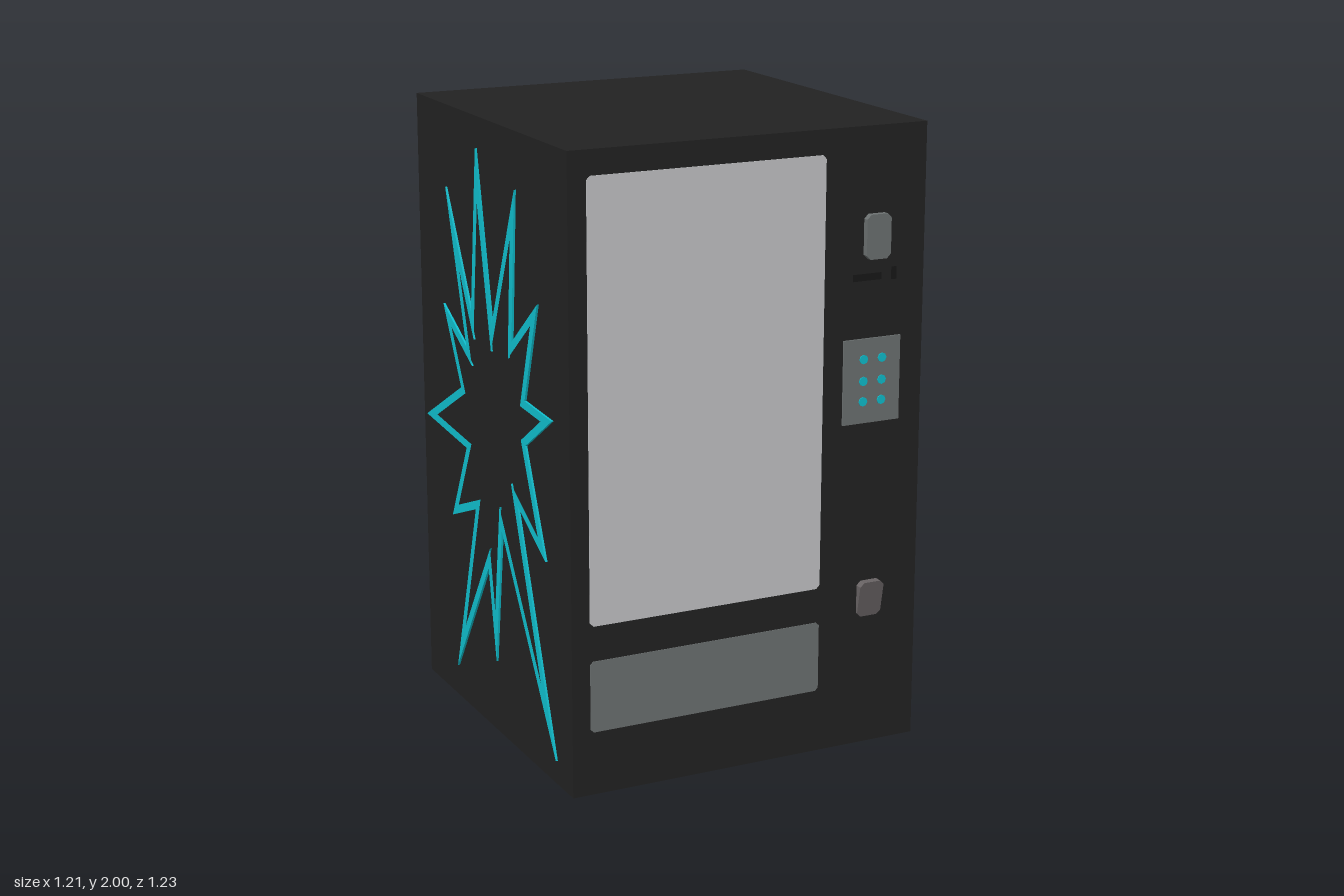
import * as THREE from 'three';

const mat = (name, color, side = THREE.FrontSide) => {
  const m = new THREE.MeshStandardMaterial({ color, side });
  m.name = name;
  return m;
};

export function createModel() {
  const black = mat('body black', 0x222222, THREE.DoubleSide);
  const pale = mat('window pale grey', 0xc4c5c7);
  const grey = mat('panel grey', 0x6c7171);
  const warmGrey = mat('coin return grey', 0x686364);
  const dark = mat('slot dark', 0x171717);
  const cyan = mat('burst cyan', 0x0fbecd);

  const model = new THREE.Group();
  const FRONT = 0.585;
  const add = (name, geometry, material, x = 0, y = 0, z = 0) => {
    const mesh = new THREE.Mesh(geometry, material);
    mesh.name = name;
    mesh.position.set(x, y, z);
    model.add(mesh);
    return mesh;
  };

  // Plate with clipped corners, extruded along +z from z = 0
  const plate = (w, h, depth, c) => {
    const x = w / 2, y = h / 2;
    const corners = [[-x + c, -y], [x - c, -y], [x, -y + c], [x, y - c],
      [x - c, y], [-x + c, y], [-x, y - c], [-x, -y + c]];
    const shape = new THREE.Shape(corners.map(([a, b]) => new THREE.Vector2(a, b)));
    return new THREE.ExtrudeGeometry(shape, { depth, bevelEnabled: false });
  };

  // Cabinet shell, open underneath
  const shell = new THREE.BoxGeometry(1.2, 2, 1.2);
  shell.setIndex([...shell.index.array].filter((_, i) => i < 18 || i >= 24));
  shell.clearGroups();
  add('cabinet', shell, black, 0, 1, -0.015);
  add('innerFloor', new THREE.BoxGeometry(1.19, 0.01, 1.19), black, 0, 0.545, -0.015);

  // Front panels; the tray also shows on the inside of the front wall
  add('displayWindow', plate(0.79, 1.375, 0.008, 0.012), pale, -0.145, 1.235, FRONT - 0.006);
  add('deliveryTray', plate(0.79, 0.23, 0.008, 0.01), grey, -0.145, 0.32, FRONT - 0.006);

  // Payment column
  add('billAcceptor', plate(0.085, 0.14, 0.02, 0.014), grey, 0.428, 1.66, FRONT);
  add('billSlot', new THREE.BoxGeometry(0.1, 0.022, 0.004), dark, 0.4, 1.533, FRONT);
  add('coinSlot', new THREE.BoxGeometry(0.018, 0.04, 0.004), dark, 0.494, 1.538, FRONT);
  add('keypad', new THREE.BoxGeometry(0.2, 0.27, 0.012), grey, 0.42, 1.205, FRONT);
  const button = new THREE.CylinderGeometry(0.015, 0.015, 0.004, 8).rotateX(Math.PI / 2);
  for (const x of [0.39, 0.455])
    for (const y of [1.14, 1.205, 1.275]) add('keypadButton', button, cyan, x, y, FRONT + 0.007);

  // Coin return flap, leaning outward toward its top
  const flap = plate(0.085, 0.12, 0.027, 0.014);
  const p = flap.attributes.position;
  for (let i = 0; i < p.count; i++)
    if (p.getZ(i) > 0.01) p.setZ(i, 0.004 + 0.023 * (p.getY(i) / 0.12 + 0.5));
  flap.computeVertexNormals();
  add('coinReturn', flap, warmGrey, 0.428, 0.49, FRONT);

  // Burst outline on both side walls, as [z, y]: tips and valleys alternate
  const outer = [
    [-0.1, 1.9], [-0.16, 1.37], [-0.36, 1.735], [-0.207, 1.245],
    [-0.4, 1.345], [-0.26, 1.097], [-0.575, 0.93], [-0.223, 0.903],
    [-0.36, 0.637], [-0.154, 0.715], [-0.345, 0.11], [-0.053, 0.546],
    [0, 0.245], [0.064, 0.705], [0.47, 0.08], [0.196, 0.827],
    [0.41, 0.71], [0.265, 1.039], [0.47, 1.17], [0.265, 1.182],
    [0.37, 1.505], [0.17, 1.346], [0.207, 1.823], [0.01, 1.365],
  ].map(([z, y]) => new THREE.Vector2(-z, y));

  // Inner contour: every edge moved inward by the line width, mitred
  const width = 0.027, n = outer.length;
  const inward = (a, b) => {
    const d = b.clone().sub(a).normalize();
    return new THREE.Vector2(d.y, -d.x);
  };
  const inner = outer.map((q, i) => {
    const n1 = inward(outer[(i + n - 1) % n], q);
    const n2 = inward(q, outer[(i + 1) % n]);
    const scale = width / (1 + n1.dot(n2));
    return q.clone().addScaledVector(n1.add(n2), scale);
  });
  const burstShape = new THREE.Shape(outer);
  burstShape.holes.push(new THREE.Path(inner));
  const burst = new THREE.ExtrudeGeometry(burstShape, { depth: 0.012, bevelEnabled: false });
  burst.translate(0, 0, -0.006).rotateY(Math.PI / 2);
  add('leftBurst', burst, cyan, 0.601);
  add('rightBurst', burst, cyan, -0.601);

  return model;
}
